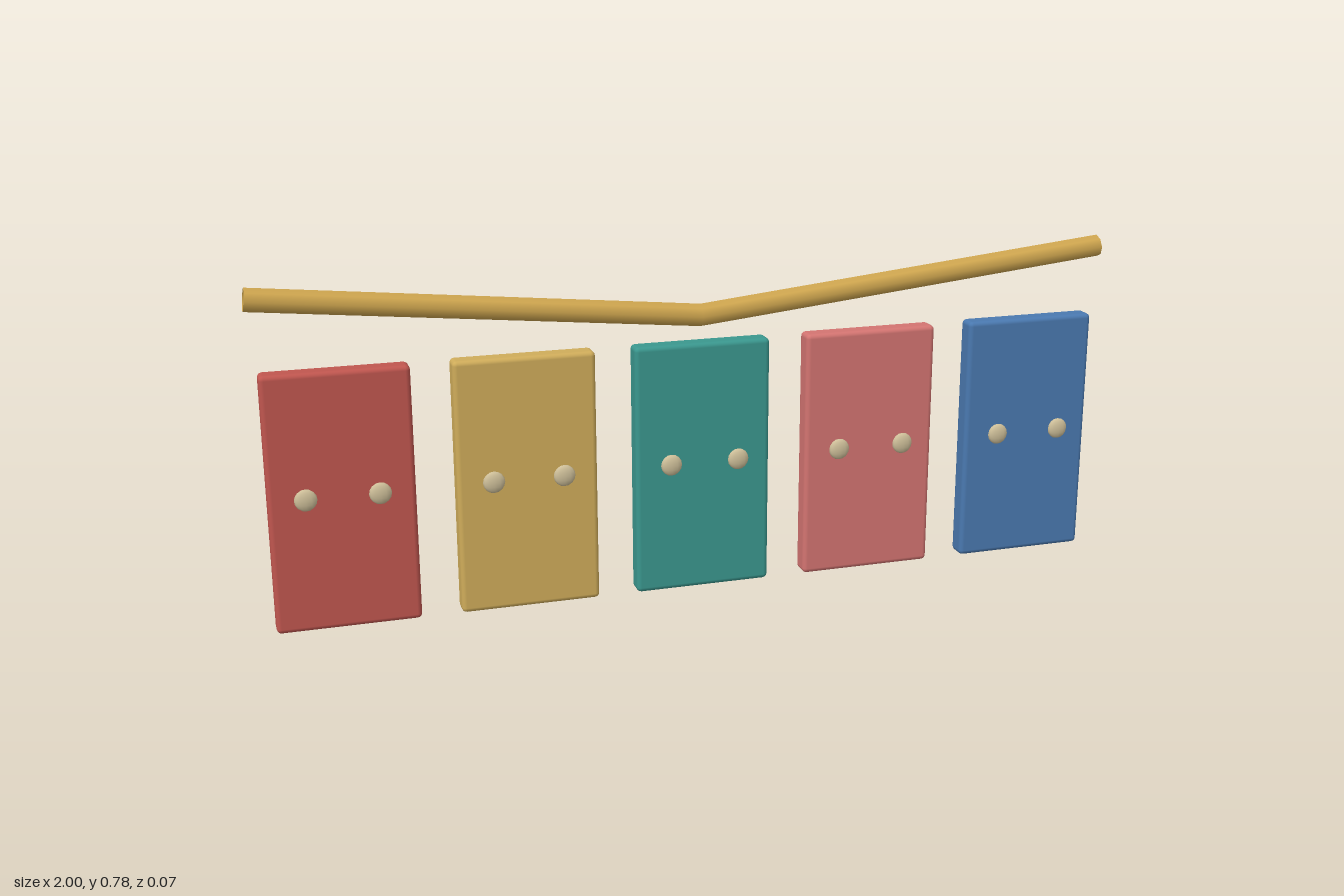
import * as THREE from 'three';
import { RoundedBoxGeometry } from 'three/addons/geometries/RoundedBoxGeometry.js';

const Z = -0.01; // shared centre plane of panels and rail

function material(color, side = THREE.FrontSide) {
  return new THREE.MeshStandardMaterial({ color, side });
}

// Open eight-sided rail with a shallow bend in the middle
function createRail() {
  const [left, middle, right] = [[-0.997, 0.75], [0, 0.648], [0.997, 0.75]]
    .map(([x, y]) => new THREE.Vector3(x, y, Z));
  const path = new THREE.CurvePath();
  path.add(new THREE.LineCurve3(left, middle));
  path.add(new THREE.LineCurve3(middle, right));
  const rail = new THREE.Mesh(
    new THREE.TubeGeometry(path, 24, 0.026, 8, false),
    material(0xcfa64f, THREE.DoubleSide)
  );
  rail.name = 'rail';
  return rail;
}

export function createModel() {
  const model = new THREE.Group();
  model.name = 'panelRow';
  model.add(createRail());

  const panelGeometry = new RoundedBoxGeometry(0.32, 0.588, 0.05, 2, 0.011);
  const studGeometry = new THREE.SphereGeometry(0.025, 12, 8).scale(1, 1, 0.4);
  const studMaterial = material(0xcfc09a);

  // Five coloured panels, each with two flattened studs on the front
  [0xc0564f, 0xcfac5a, 0x3a978e, 0xd37471, 0x4a79b0].forEach((color, i) => {
    const unit = new THREE.Group();
    unit.name = `panelUnit${i + 1}`;
    unit.position.x = (i - 2) * 0.41;

    const panel = new THREE.Mesh(panelGeometry, material(color));
    panel.name = 'panel';
    panel.position.set(0, 0.294, Z);
    unit.add(panel);

    for (const side of [-1, 1]) {
      const stud = new THREE.Mesh(studGeometry, studMaterial);
      stud.name = side < 0 ? 'rightStud' : 'leftStud';
      stud.position.set(side * 0.08, 0.31, 0.027);
      unit.add(stud);
    }
    model.add(unit);
  });
  return model;
}
